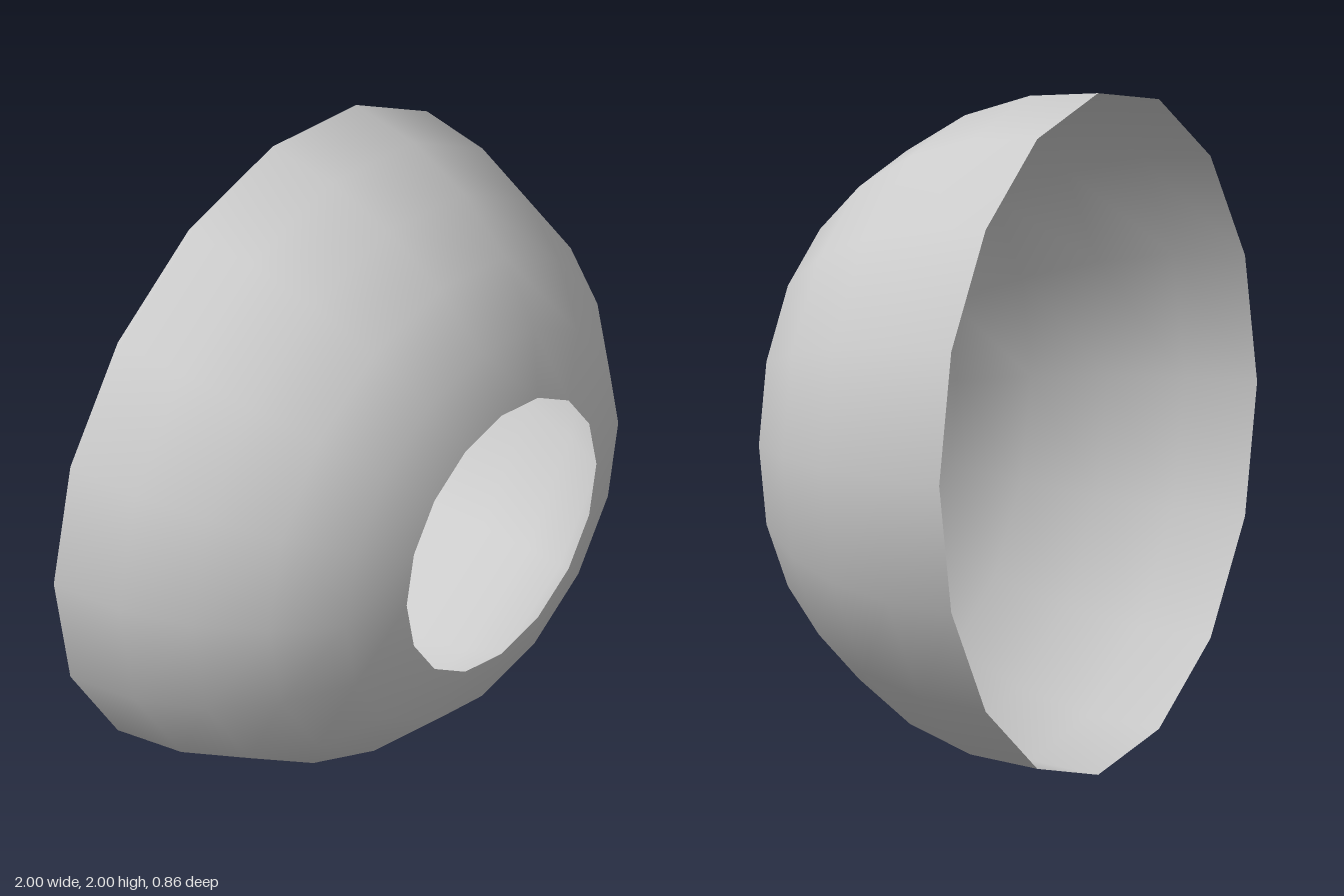
import * as THREE from 'three';

export function createModel() {
  const group = new THREE.Group();
  const material = new THREE.MeshStandardMaterial({ color: 0xcccccc, side: THREE.DoubleSide });

  // Spherical profile from the wide back rim to the front opening
  const depth = 0.855;
  const step = Math.PI / 14;
  const profile = [];
  for (let i = 0; i <= 5; i++) {
    const height = Math.min(Math.sin(i * step), depth); // front ring is slightly flattened
    profile.push(new THREE.Vector2(Math.cos(i * step), height - depth / 2));
  }

  // Thin open bowl, its axis turned to face +z
  const geometry = new THREE.LatheGeometry(profile, 16);
  geometry.rotateX(Math.PI / 2);
  const bowl = new THREE.Mesh(geometry, material);
  bowl.name = 'openBowl';
  bowl.position.y = 1;
  group.add(bowl);

  return group;
}
